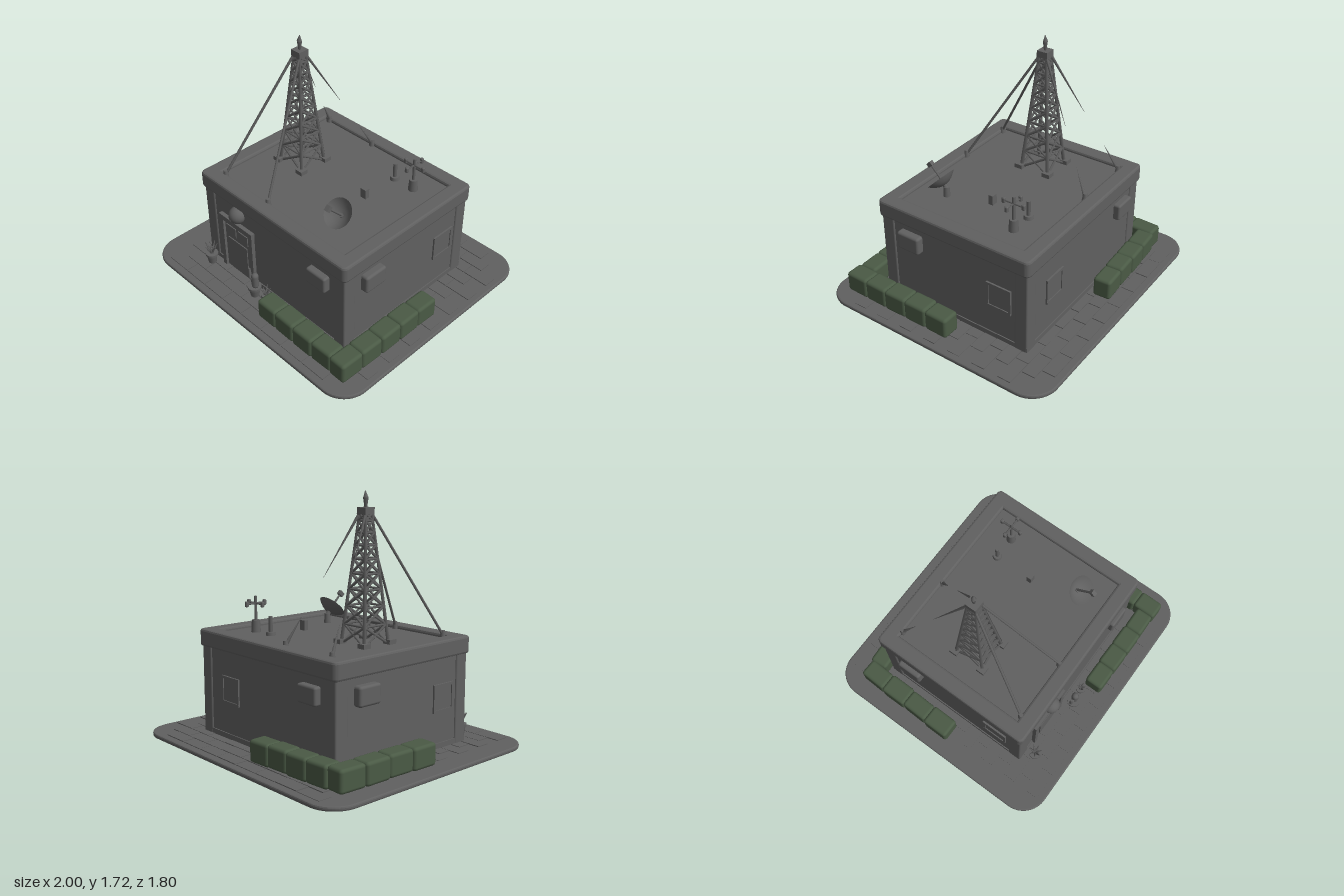
import * as THREE from 'three';
import { RoundedBoxGeometry } from 'three/addons/geometries/RoundedBoxGeometry.js';

const V = (x, y, z) => new THREE.Vector3(x, y, z);

export function createModel() {
  const root = new THREE.Group();
  root.name = 'radioOutpost';
  const grey = new THREE.MeshStandardMaterial({ name: 'concreteGrey', color: 0x606060 });
  const dish = grey.clone();
  dish.name = 'thinGrey';
  dish.side = THREE.DoubleSide;
  const green = new THREE.MeshStandardMaterial({ name: 'mossGreen', color: 0x4a5a45 });

  let seed = 7;
  const rand = () => ((seed = (seed * 16807) % 2147483647) / 2147483647);

  const group = (name, parent = root) => {
    const g = new THREE.Group();
    g.name = name;
    parent.add(g);
    return g;
  };
  const add = (parent, name, geo, x = 0, y = 0, z = 0, mat = grey) => {
    const m = new THREE.Mesh(geo, mat);
    m.name = name;
    m.position.set(x, y, z);
    parent.add(m);
    return m;
  };
  const box = (parent, name, w, h, d, x, y, z) => add(parent, name, new THREE.BoxGeometry(w, h, d), x, y, z);
  const soft = (parent, name, w, h, d, r, x, y, z, mat) =>
    add(parent, name, new RoundedBoxGeometry(w, h, d, 2, r), x, y, z, mat);
  const cyl = (parent, name, rt, rb, h, x, y, z, sides = 12) =>
    add(parent, name, new THREE.CylinderGeometry(rt, rb, h, sides), x, y + h / 2, z);
  // A rod from a to b with its own radius at each end
  const bar = (parent, name, a, b, ra, rb = ra, sides = 4) => {
    const d = b.clone().sub(a);
    const m = add(parent, name, new THREE.CylinderGeometry(rb, ra, d.length(), sides));
    m.position.copy(a).addScaledVector(d, 0.5);
    m.quaternion.setFromUnitVectors(V(0, 1, 0), d.normalize());
    return m;
  };
  const roundRect = (w, d, r, Type = THREE.Shape) => {
    const s = new Type();
    s.moveTo(-w + r, -d);
    s.lineTo(w - r, -d).absarc(w - r, -d + r, r, -Math.PI / 2, 0);
    s.lineTo(w, d - r).absarc(w - r, d - r, r, 0, Math.PI / 2);
    s.lineTo(-w + r, d).absarc(-w + r, d - r, r, Math.PI / 2, Math.PI);
    s.lineTo(-w, -d + r).absarc(-w + r, -d + r, r, Math.PI, Math.PI * 1.5);
    return s;
  };
  const flatExtrude = (shape, h, bevel) =>
    new THREE.ExtrudeGeometry(shape, {
      depth: h - 2 * bevel, bevelSize: bevel, bevelThickness: bevel, bevelSegments: 2, curveSegments: 8,
    }).translate(0, 0, bevel).rotateX(-Math.PI / 2);

  // Ground slab with uneven paving stones
  const ground = group('ground');
  add(ground, 'slab', flatExtrude(roundRect(0.99, 0.89, 0.18), 0.03, 0.01));
  for (let r = 0; r < 17; r++) {
    for (let c = 0; c < 10; c++) {
      const x = -0.9 + c * 0.2 + (r % 2) * 0.08 - 0.04, z = -0.8 + r * 0.1;
      if (Math.abs(x) > 0.86 || (Math.abs(x) < 0.55 && Math.abs(z) < 0.55)) continue;
      if (Math.abs(x) > 0.78 && Math.abs(z) > 0.74) continue;
      box(ground, 'pavingStone', 0.194, 0.006, 0.094, x, 0.03 + rand() * 0.004, z);
    }
  }

  // Walls, corner pillars, parapet and sunken roof
  const house = group('house');
  box(house, 'walls', 1.355, 0.64, 1.155, 0, 0.345, 0);
  box(house, 'plinth', 1.37, 0.05, 1.17, 0, 0.045, 0);
  for (const sx of [-1, 1]) for (const sz of [-1, 1])
    soft(house, 'cornerPillar', 0.1, 0.64, 0.1, 0.012, sx * 0.637, 0.34, sz * 0.537);
  const rim = roundRect(0.69, 0.59, 0.02);
  rim.holes.push(roundRect(0.61, 0.51, 0.01, THREE.Path));
  add(house, 'parapet', flatExtrude(rim, 0.12, 0.015), 0, 0.64, 0);
  box(house, 'roof', 1.24, 0.07, 1.04, 0, 0.7, 0);

  // Door, its frame and the round lamp above
  const door = group('door');
  for (const x of [-0.505, -0.2]) box(door, 'doorJamb', 0.035, 0.45, 0.04, x, 0.26, 0.585);
  box(door, 'doorLintel', 0.345, 0.04, 0.044, -0.352, 0.475, 0.585);
  box(door, 'doorLeaf', 0.26, 0.4, 0.02, -0.352, 0.25, 0.58);
  for (const x of [-0.415, -0.29]) box(door, 'doorPane', 0.1, 0.08, 0.008, x, 0.39, 0.593);
  box(door, 'doorPanel', 0.2, 0.24, 0.008, -0.352, 0.2, 0.593);
  add(door, 'lamp', new THREE.SphereGeometry(0.062, 16, 12), -0.335, 0.575, 0.59);

  // Air units and windows; the long and short sides repeat turned half round
  for (const s of [1, -1]) {
    const side = group(s > 0 ? 'frontRightFittings' : 'backLeftFittings');
    if (s < 0) side.rotation.y = Math.PI;
    soft(side, 'wallUnit', 0.17, 0.12, 0.07, 0.015, 0.46, 0.525, 0.59);
    soft(side, 'sideUnit', 0.08, 0.13, 0.18, 0.018, 0.69, 0.525, 0.34);
    const windowAt = (x, z, turn) => {
      const w = group('window', side);
      w.position.set(x, 0.375, z);
      w.rotation.y = turn;
      for (const e of [-1, 1]) {
        box(w, 'windowJamb', 0.018, 0.19, 0.02, e * 0.086, 0, 0);
        box(w, 'windowSill', 0.19, 0.018, 0.022, 0, e * 0.086, 0);
      }
      box(w, 'windowPane', 0.16, 0.16, 0.008, 0, 0, 0);
    };
    windowAt(0.679, -0.365, Math.PI / 2);
    if (s < 0) windowAt(-0.37, 0.579, 0);
  }

  // Lattice mast: four tapering legs with crossed braces
  const mast = group('mast');
  mast.position.set(-0.335, 0, -0.015);
  const y0 = 0.735, y1 = 1.57, half = (y) => 0.108 - ((y - y0) / (y1 - y0)) * 0.08;
  const corner = (i, y) => {
    const h = half(y);
    return V([-1, 1, 1, -1][i % 4] * h, y, [1, 1, -1, -1][i % 4] * h);
  };
  const levels = [y0];
  for (let i = 0, step = 0.128; i < 9; i++, step *= 0.925) levels.push(Math.min(levels[i] + step, y1));
  for (let i = 0; i < 4; i++) {
    const leg = corner(i, y0);
    bar(mast, 'mastLeg', leg, corner(i, y1), 0.016, 0.012);
    box(mast, 'mastFoot', 0.06, 0.03, 0.06, leg.x * 1.05, 0.75, leg.z * 1.05);
    for (let k = 0; k < 9; k++) {
      const [a, b] = [levels[k], levels[k + 1]];
      bar(mast, 'mastBrace', corner(i, a), corner(i + 1, b), 0.009);
      bar(mast, 'mastBrace', corner(i + 1, a), corner(i, b), 0.009);
      bar(mast, 'mastRung', corner(i, b), corner(i + 1, b), 0.008);
    }
  }
  box(mast, 'mastCap', 0.08, 0.045, 0.08, 0, 1.588, 0);
  bar(mast, 'beacon', V(0, 1.6, 0), V(0, 1.67, 0), 0.008, 0.018, 6);
  bar(mast, 'beaconTip', V(0, 1.67, 0), V(0.004, 1.715, 0), 0.018, 0.002, 6);

  // Guy wires: whole at the front, snapped at the back
  const wires = group('guyWires');
  for (const x of [-0.555, -0.115]) for (const sz of [1, -1]) {
    const low = V(x, 0.755, sz * 0.495);
    const top = V(-0.335 + Math.sign(x + 0.335) * 0.03, 1.56, -0.015 + sz * 0.035);
    cyl(wires, 'wireAnchor', 0.014, 0.022, 0.05, x, 0.735, sz * 0.495, 8);
    if (sz > 0) bar(wires, 'wire', low, top, 0.009, 0.009, 6);
    else {
      bar(wires, 'brokenWireLow', low, low.clone().lerp(top, 0.22), 0.013, 0.001, 6);
      bar(wires, 'brokenWireHigh', top, top.clone().lerp(low, 0.48), 0.01, 0.001, 6);
    }
  }

  // Satellite dish tilted up toward the front
  const sat = group('satelliteDish');
  cyl(sat, 'dishMount', 0.02, 0.025, 0.07, 0.37, 0.735, 0.285);
  bar(sat, 'dishNeck', V(0.37, 0.79, 0.285), V(0.37, 0.82, 0.305), 0.016, 0.016, 8);
  const bowl = group('bowl', sat);
  bowl.position.set(0.37, 0.815, 0.295);
  bowl.rotation.x = Math.PI / 4;
  const profile = [0, 0.035, 0.065, 0.09, 0.104].map((r) => new THREE.Vector2(r, r * r * 4.8));
  add(bowl, 'reflector', new THREE.LatheGeometry(profile, 24), 0, 0, 0, dish);
  bar(bowl, 'feedArm', V(0, 0, 0), V(0, 0.165, 0), 0.009, 0.007, 6);
  box(bowl, 'feedHorn', 0.03, 0.03, 0.04, 0, 0.17, 0);

  // Wind gauge, vent pipe and small roof box
  const gauge = group('windGauge');
  cyl(gauge, 'gaugeBase', 0.028, 0.034, 0.085, 0.44, 0.735, -0.31);
  cyl(gauge, 'gaugePole', 0.01, 0.01, 0.17, 0.44, 0.815, -0.31, 8);
  for (let i = 0; i < 4; i++) {
    const a = (i * Math.PI) / 2, x = 0.44 + Math.cos(a) * 0.075, z = -0.31 + Math.sin(a) * 0.075;
    bar(gauge, 'gaugeArm', V(0.44, 0.935, -0.31), V(x, 0.935, z), 0.007);
    soft(gauge, 'gaugeCup', 0.024, 0.04, 0.024, 0.008, x, 0.935, z);
  }
  cyl(root, 'ventBase', 0.03, 0.034, 0.025, 0.275, 0.735, -0.31);
  cyl(root, 'ventPipe', 0.014, 0.014, 0.11, 0.275, 0.755, -0.31, 8);
  box(root, 'roofBox', 0.045, 0.07, 0.035, 0.27, 0.77, -0.02);

  // Two L-shaped barriers of soft green blocks
  const barrier = (name, a, b, count) => {
    const g = group(name), d = b.clone().sub(a), len = d.length() / count;
    for (let i = 0; i < count; i++) {
      const p = a.clone().addScaledVector(d, (i + 0.5) / count);
      const m = soft(g, 'barrierBlock', len + 0.004, 0.15, 0.13 + rand() * 0.012, 0.022,
        p.x, 0.108 + rand() * 0.006, p.z, green);
      m.rotation.y = Math.atan2(-d.z, d.x) + (rand() - 0.5) * 0.04;
    }
  };
  barrier('frontBarrier', V(0.06, 0, 0.712), V(0.75, 0, 0.715), 4);
  barrier('rightBarrier', V(0.815, 0, 0.785), V(0.82, 0, -0.085), 5);
  barrier('backBarrier', V(-0.06, 0, -0.69), V(-0.75, 0, -0.66), 4);
  barrier('leftBarrier', V(-0.81, 0, -0.71), V(-0.825, 0, 0.07), 4);

  // Potted plants by the door
  const pot = (x, z, r, h) => {
    const g = group('pottedPlant');
    cyl(g, 'pot', r, r * 0.72, h, x, 0.035, z);
    cyl(g, 'potRim', r * 1.15, r * 1.15, 0.018, x, 0.025 + h, z);
    return g;
  };
  const leaves = (g, x, y, z, n, spread, h) => {
    for (let i = 0; i < n; i++) {
      const a = (i / n) * Math.PI * 2;
      bar(g, 'leaf', V(x, y, z), V(x + Math.cos(a) * spread, y + h * (0.7 + 0.3 * rand()), z + Math.sin(a) * spread), 0.013, 0.002);
    }
  };
  leaves(pot(-0.59, 0.655, 0.04, 0.075), -0.59, 0.115, 0.655, 7, 0.045, 0.095);
  leaves(pot(0, 0.65, 0.032, 0.065), 0, 0.1, 0.65, 6, 0.03, 0.075);
  const cactus = pot(-0.11, 0.66, 0.042, 0.075);
  add(cactus, 'cactusBody', new THREE.CapsuleGeometry(0.026, 0.075, 4, 10), -0.1, 0.175, 0.66);
  bar(cactus, 'cactusArm', V(-0.11, 0.16, 0.66), V(-0.15, 0.18, 0.66), 0.013, 0.013, 8);
  bar(cactus, 'cactusArmTip', V(-0.15, 0.175, 0.66), V(-0.155, 0.25, 0.66), 0.014, 0.008, 8);
  return root;
}
